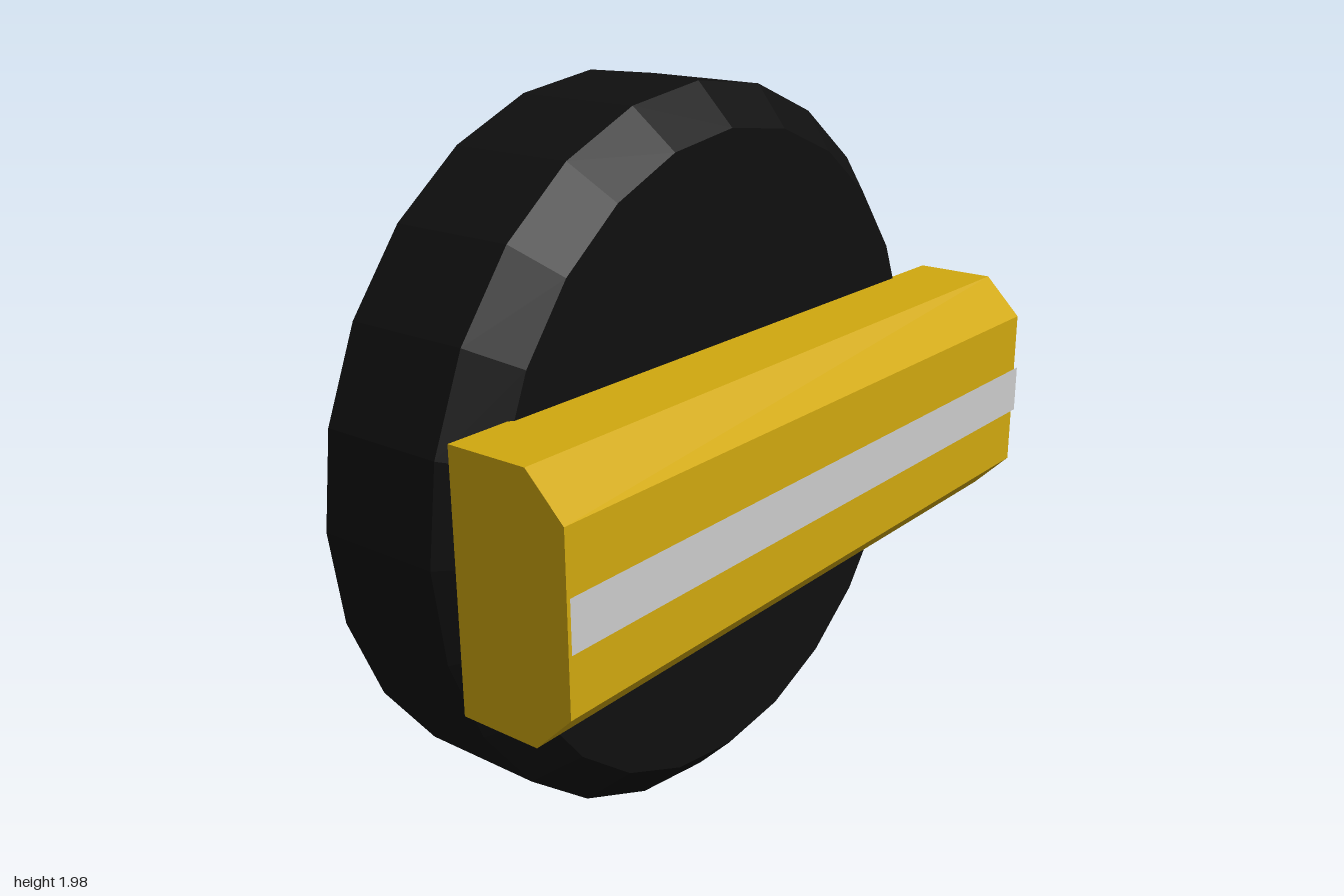
import * as THREE from 'three';

const CENTRE_Y = 0.988;
const HALF_LENGTH = 1;

function addPart(parent, name, geometry, color) {
  const material = new THREE.MeshStandardMaterial({ color, flatShading: true, side: THREE.DoubleSide });
  const mesh = new THREE.Mesh(geometry, material);
  mesh.name = name;
  parent.add(mesh);
  return mesh;
}

// Sweeps an open (x, y) profile straight along z
function sweepAlongZ(profile) {
  const geometry = new THREE.PlaneGeometry(1, 1, 1, profile.length - 1);
  const position = geometry.attributes.position;
  for (let i = 0; i < position.count; i++) {
    const [x, y] = profile[Math.floor(i / 2)];
    position.setXYZ(i, x, y, i % 2 ? HALF_LENGTH : -HALF_LENGTH);
  }
  const flat = geometry.toNonIndexed();
  flat.computeVertexNormals();
  return flat;
}

export function createModel() {
  const model = new THREE.Group();
  model.name = 'knob';

  // Hollow 24-sided dish with a chamfered front rim, open at the back
  const dishProfile = [[0.988, -0.4], [0.988, -0.04], [0.88, 0.067], [0, 0.067]]
    .map(([r, h]) => new THREE.Vector2(r, h));
  const dishGeometry = new THREE.LatheGeometry(dishProfile, 24).rotateZ(-Math.PI / 2);
  addPart(model, 'dish', dishGeometry, 0x0f0f0f).position.y = CENTRE_Y;

  // Grip bar with bevelled outer edges, open toward the dish
  const grip = new THREE.Group();
  grip.name = 'grip';
  grip.position.y = CENTRE_Y;
  model.add(grip);
  const gripProfile = [
    [0.057, -0.333], [0.284, -0.333], [0.39, -0.227],
    [0.39, 0.227], [0.284, 0.333], [0.057, 0.333],
  ];
  const gripColor = 0xd0a80f;
  addPart(grip, 'gripBody', sweepAlongZ(gripProfile), gripColor);

  // End caps, the rear one turned to face backward
  const capShape = new THREE.Shape(gripProfile.map(([x, y]) => new THREE.Vector2(x, y)));
  addPart(grip, 'gripFrontEnd', new THREE.ShapeGeometry(capShape), gripColor).position.z = HALF_LENGTH;
  const rearShape = new THREE.Shape(gripProfile.map(([x, y]) => new THREE.Vector2(-x, y)));
  const rearEnd = addPart(grip, 'gripRearEnd', new THREE.ShapeGeometry(rearShape), gripColor);
  rearEnd.rotation.y = Math.PI;
  rearEnd.position.z = -HALF_LENGTH;

  // Thin pointer stripe floating just off the grip face
  addPart(grip, 'pointerStripe', sweepAlongZ([[0.4, -0.066], [0.4, 0.068]]), 0xcccccc);

  return model;
}
